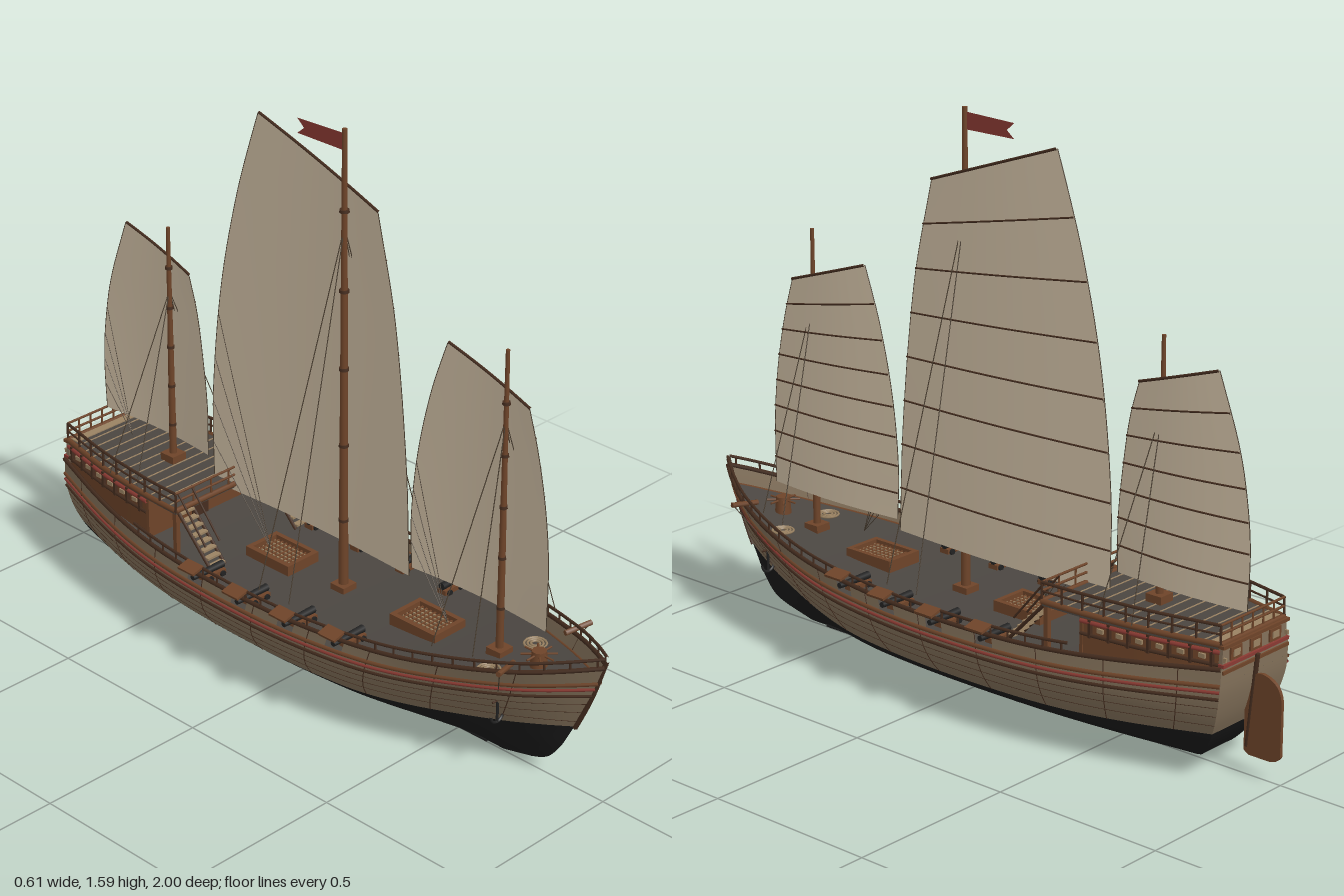
import * as THREE from 'three';

const M = {};
const mat = (name, color, double) => {
  M[name] = new THREE.MeshStandardMaterial({ color });
  M[name].name = name;
  if (double) M[name].side = THREE.DoubleSide;
};
const V = (x, y, z) => new THREE.Vector3(x, y, z);
const lerp = THREE.MathUtils.lerp;

// smooth interpolation through [x, value] pairs with rising x
function interp(p, x) {
  const n = p.length - 1;
  let i = 0;
  while (i < n - 1 && x > p[i + 1][0]) i++;
  const slope = k => {
    const a = p[Math.max(k - 1, 0)], b = p[Math.min(k + 1, n)];
    return (b[1] - a[1]) / (b[0] - a[0]);
  };
  const h = p[i + 1][0] - p[i][0], t = THREE.MathUtils.clamp((x - p[i][0]) / h, 0, 1);
  const t2 = t * t, t3 = t2 * t;
  return (2 * t3 - 3 * t2 + 1) * p[i][1] + (t3 - 2 * t2 + t) * h * slope(i)
    + (3 * t2 - 2 * t3) * p[i + 1][1] + (t3 - t2) * h * slope(i + 1);
}

// surface from f(a, b); it faces along da x db
function grid(na, nb, f) {
  const pos = [], idx = [];
  for (let i = 0; i <= na; i++) for (let j = 0; j <= nb; j++) {
    pos.push(...f(i / na, j / nb).toArray());
    if (i < na && j < nb) {
      const k = i * (nb + 1) + j, m = k + nb + 1;
      idx.push(k, m, m + 1, k, m + 1, k + 1);
    }
  }
  const g = new THREE.BufferGeometry();
  g.setAttribute('position', new THREE.Float32BufferAttribute(pos, 3));
  g.setIndex(idx);
  g.computeVertexNormals();
  return g;
}

// hull lines; heights on the hull are fractions of the sheer
const BOW = 0.99, STERN = -0.91, DECK = .87;
const beam = z => interp([[-.91, .138], [-.7, .2], [-.5, .242], [-.3, .262], [0, .268], [.2, .26], [.4, .238], [.6, .196], [.8, .122], [.92, .054], [.99, .004]], z);
const sheer = z => interp([[-.91, .335], [-.4, .295], [0, .287], [.4, .303], [.6, .327], [.8, .358], [.99, .4]], z);
const waterline = z => interp([[-.91, .41], [-.5, .375], [0, .365], [.5, .385], [.99, .45]], z);
const section = v => interp([[0, 0], [.1, .36], [.3, .71], [.5, .9], [.73, 1], [1, 1]], v);
const stem = v => interp([[0, .66], [.08, .785], [.2, .84], [.4, .885], [.7, .945], [1, .99]], v);
const sternLine = v => interp([[0, -.66], [.08, -.77], [.2, -.82], [.45, -.875], [.75, -.905], [1, -.91]], v);
function hullPoint(z0, w, off = 0) {
  const v = Math.abs(w), u = (z0 - STERN) / (BOW - STERN);
  const k = THREE.MathUtils.smoothstep(z0, .3, BOW) * .75;
  const x = beam(z0) * lerp(section(v), Math.pow(v, .8), k) + off;
  return V(Math.sign(w) * x, .008 + v * (sheer(z0) - .008), lerp(sternLine(v), stem(v), u));
}
// f0 and f1 give the lower and upper edge at each station
const hullStrip = (f0, f1, z0, z1, nw, nz) => grid(nw, nz, (a, b) => {
  const z = lerp(z0, z1, b);
  return hullPoint(z, lerp(f0(z), f1(z), a));
});

export function createModel() {
  mat('hullWood', 0x83715a, true); mat('tarBlack', 0x1a1a1a, true); mat('deckGrey', 0x4b4641, true);
  mat('darkWood', 0x452d1f); mat('brownWood', 0x6e4429, true); mat('red', 0x8a3a32, true);
  mat('sailCloth', 0xd0bfa5, true); mat('iron', 0x222222); mat('rope', 0x4a3e30); mat('paleWood', 0x9a8262);
  const root = new THREE.Group();
  const add = (name, geo, m, x = 0, y = 0, z = 0) => {
    const o = new THREE.Mesh(geo, M[m]);
    o.name = name; o.position.set(x, y, z); root.add(o);
    return o;
  };
  const box = (name, m, w, h, d, x, y, z) => add(name, new THREE.BoxGeometry(w, h, d), m, x, y, z);
  const rod = (name, m, a, b, r, r2 = r, n = 6) => {
    const o = add(name, new THREE.CylinderGeometry(r2, r, a.distanceTo(b), n), m);
    o.position.copy(a).add(b).multiplyScalar(.5);
    o.quaternion.setFromUnitVectors(V(0, 1, 0), b.clone().sub(a).normalize());
  };
  const tube = (name, m, pts, r, seg = 48) =>
    add(name, new THREE.TubeGeometry(new THREE.CatmullRomCurve3(pts), seg, r, 5), m);
  const along = (n, f) => Array.from({ length: n + 1 }, (_, i) => f(i / n));

  // hull shell, deck and transom
  const ports = [.29, .12, -.055, -.23];
  add('hullBottom', hullStrip(z => -waterline(z), waterline, STERN, BOW, 32, 60), 'tarBlack');
  for (const s of [-1, 1]) {
    const strip = (name, f0, f1, z0, z1, nv, nz) => add(name, s > 0 ? hullStrip(f0, f1, z0, z1, nv, nz)
      : hullStrip(z => -f1(z), z => -f0(z), z0, z1, nv, nz), 'hullWood');
    strip('topside', waterline, () => DECK, STERN, BOW, 10, 60);
    const cuts = [BOW, ...ports.flatMap(p => [p + .028, p - .028]), STERN];
    for (let i = 0; i < cuts.length; i += 2) strip('bulwark', () => DECK, () => 1, cuts[i + 1], cuts[i], 2, 16);
  }
  add('deck', grid(60, 2, (a, b) => {
    const p = hullPoint(lerp(STERN, BOW, a), DECK);
    p.x *= (b * 2 - 1) * .99; return p;
  }), 'deckGrey');
  const WS = waterline(STERN);
  for (const [name, m, v0, v1] of [['transom', 'hullWood', WS, 1], ['transomBottom', 'tarBlack', .0001, WS]])
    add(name, grid(8, 2, (a, b) => {
      const p = hullPoint(STERN, lerp(v0, v1, a));
      p.x *= b * 2 - 1; return p;
    }), m);

  // wales, plank seams, frames and open rail on both sides
  for (const s of [-1, 1]) {
    const run = (name, m, v, r, off = 0, n = 40) =>
      tube(name, m, along(n, t => hullPoint(lerp(STERN, BOW, t), s * v, off)), r, 80);
    run('capRail', 'darkWood', 1, .0065);
    run('upperWale', 'brownWood', .86, .006);
    run('redStripe', 'red', .81, .0045, .001);
    run('lowerWale', 'darkWood', .75, .005);
    for (const v of [.5, .59, .67]) run('plankSeam', 'darkWood', v, .0009);
    for (let i = 0; i < 9; i++) {
      const z = -.8 + i * .2;
      tube('hullFrame', 'darkWood', along(6, t => hullPoint(z, s * lerp(waterline(z), 1, t), .0003)), .0014, 10);
    }
    const railAt = z => hullPoint(z, s).add(V(0, .026, 0));
    tube('rail', 'darkWood', along(40, t => railAt(lerp(-.5, BOW, t))), .0045, 80);
    for (let i = 0; i <= 26; i++) {
      const z = lerp(-.48, .975, i / 26);
      rod('railPost', 'darkWood', hullPoint(z, s), railAt(z), .003);
    }
  }
  tube('stemPost', 'darkWood', along(10, t => V(0, lerp(.18, .42, t), stem(lerp(.45, 1, t)) + .002)), .007, 20);
  rod('keel', 'tarBlack', V(0, .008, -.6), V(0, .008, .6), .005);

  // cannons with lifted port lids
  for (const s of [-1, 1]) for (const z of ports) {
    const x = s * beam(z), y = sheer(z) - .012;
    const lid = box('portLid', 'brownWood', .042, .007, .06, x + s * .018, y + .035, z);
    lid.rotation.z = s * -.25;
    rod('cannonBarrel', 'iron', V(x - s * .1, y, z), V(x + s * .012, y, z), .011, .008, 10);
    box('gunCarriage', 'brownWood', .075, .014, .03, x - s * .062, y - .017, z);
    for (const dx of [.04, .085]) for (const dz of [-.018, .018])
      rod('carriageWheel', 'iron', V(x - s * dx, y - .019, z + dz - .003), V(x - s * dx, y - .019, z + dz + .003), .009, .009, 8);
  }

  // aft cabin, with its deck, panels and railing
  const cabinX = z => interp([[-.9, .13], [-.7, .172], [-.5, .195], [-.38, .2]], z);
  for (const s of [-1, 1]) {
    const side = (z, y) => V(s * cabinX(z), y, z);
    add('cabinWall', grid(12, 1, (a, b) => side(lerp(-.9, -.5, a), lerp(.26, .385, b)).add(V(-s * .006, 0, 0))), 'brownWood');
    for (const [m, y, r] of [['darkWood', .342, .005], ['red', .376, .006]])
      tube('cabinTrim', m, along(8, t => side(lerp(-.9, -.5, t), y)), r, 16);
    for (let i = 0; i < 7; i++) {
      const z = -.53 - i * .058;
      box('cabinPost', 'darkWood', .01, .05, .008, s * cabinX(z), .36, z);
      box('cabinWindow', 'paleWood', .006, .012, .02, s * (cabinX(z - .029) - .003), .358, z - .029);
    }
    for (const [m, y, r] of [['brownWood', .397, .008], ['darkWood', .425, .003], ['darkWood', .449, .0045]])
      tube('poopRail', m, along(10, t => side(lerp(-.9, -.375, t), y)), r, 24);
    for (let i = 0; i <= 8; i++) rod('poopPost', 'darkWood', side(-.9 + i * .0656, .39), side(-.9 + i * .0656, .45), .0035);
    box('poopSupport', 'brownWood', .014, .14, .014, s * .19, .32, -.385);
    // stairs up to the poop
    for (let i = 0; i < 8; i++) box('stairTread', 'paleWood', .048, .006, .018, s * .163, .265 + i * .017, -.255 - i * .017);
    for (const dx of [-.026, .026]) {
      rod('stairString', 'darkWood', V(s * .163 + dx, .255, -.25), V(s * .163 + dx, .39, -.38), .005);
      rod('stairHandrail', 'darkWood', V(s * .163 + dx, .32, -.27), V(s * .163 + dx, .45, -.38), .003);
    }
  }
  const poop = new THREE.Shape([...along(8, t => lerp(-.9, -.375, t)).map(z => new THREE.Vector2(cabinX(z), -z)),
    ...along(8, t => lerp(-.375, -.9, t)).map(z => new THREE.Vector2(-cabinX(z), -z))]);
  add('poopDeck', new THREE.ExtrudeGeometry(poop, { depth: .014, bevelEnabled: false }).rotateX(-Math.PI / 2), 'deckGrey', 0, .384, 0);
  for (let i = 0; i < 12; i++) {
    const z = -.41 - i * .04;
    box('poopSeam', 'paleWood', cabinX(z) * 1.9, .003, .004, 0, .398, z);
  }
  box('poopSternPlank', 'paleWood', .25, .004, .025, 0, .399, -.88);
  box('cabinFront', 'brownWood', .384, .13, .01, 0, .32, -.5);
  box('cabinDoor', 'darkWood', .06, .11, .006, 0, .31, -.494);
  box('cabinBack', 'hullWood', .262, .07, .012, 0, .352, -.902);
  for (const [m, y] of [['brownWood', .325], ['red', .342], ['brownWood', .392]]) box('sternBeam', m, .27, .009, .018, 0, y, -.906);
  for (const x of [-.08, 0, .08]) {
    box('sternWindowFrame', 'brownWood', .046, .034, .006, x, .367, -.91);
    box('sternWindow', 'paleWood', .026, .018, .006, x, .367, -.912);
  }
  for (const [z, w] of [[-.9, .13], [-.375, .2]]) {
    for (const y of [.425, .449]) rod('poopCrossRail', 'brownWood', V(-w, y, z), V(w, y, z), .0035);
    rod('poopEdge', 'brownWood', V(-w, .396, z), V(w, .396, z), .008);
    for (let i = 0; i <= 6; i++) rod('poopCrossPost', 'brownWood', V(lerp(-w, w, i / 6), .39, z), V(lerp(-w, w, i / 6), .45, z), .003);
  }

  // rudder
  const rs = new THREE.Shape();
  rs.moveTo(.885, .07); rs.lineTo(.885, .24); rs.quadraticCurveTo(.9, .29, .94, .29);
  rs.quadraticCurveTo(1, .28, 1, .22); rs.lineTo(1, .08); rs.quadraticCurveTo(.99, .06, .96, .06); rs.lineTo(.9, .06);
  add('rudder', new THREE.ExtrudeGeometry(rs, { depth: .01, bevelEnabled: false }).rotateY(Math.PI / 2), 'brownWood', -.005);
  rod('rudderStock', 'darkWood', V(0, .08, -.892), V(0, .34, -.918), .007);

  // hatches with gratings
  for (const [z, d] of [[-.165, .15], [.38, .15]]) {
    const y = DECK * sheer(z);
    box('hatchBase', 'darkWood', .09, .02, d - .02, 0, y + .008, z);
    for (const s of [-1, 1]) {
      box('hatchCoaming', 'brownWood', .014, .034, d, s * .052, y + .014, z);
      box('hatchCoaming', 'brownWood', .118, .034, .014, 0, y + .014, z + s * d / 2);
    }
    for (let i = 0; i < 5; i++) box('gratingBar', 'paleWood', .004, .006, d - .03, -.03 + i * .015, y + .021, z);
    for (let i = 0; i < 8; i++) box('gratingBar', 'brownWood', .08, .006, .005, 0, y + .022, z - d * .35 + i * d * .1);
  }

  // capstan, rope coils, catheads and anchors
  const cy = DECK * sheer(.77);
  rod('capstan', 'brownWood', V(0, cy, .77), V(0, cy + .05, .77), .024, .02, 10);
  for (let i = 0; i < 4; i++) {
    const a = i * Math.PI / 4, d = V(Math.cos(a) * .048, 0, Math.sin(a) * .048);
    rod('capstanBar', 'brownWood', V(0, cy + .04, .77).sub(d), V(0, cy + .04, .77).add(d), .003);
  }
  for (const s of [-1, 1]) {
    for (const r of [.012, .021, .03])
      add('ropeCoil', new THREE.TorusGeometry(r, .0035, 5, 16).rotateX(Math.PI / 2), 'paleWood', s * .09, DECK * sheer(.68) + .006, .68);
    rod('cathead', 'brownWood', V(s * .1, .365, .77), V(s * .18, .372, .79), .008);
    const p = hullPoint(.79, s * .55, .012), top = V(s * .175, .37, .79);
    rod('anchorCable', 'rope', top, p.clone().setY(.25), .0015);
    rod('anchorShank', 'iron', p.clone().setY(.17), p.clone().setY(.24), .004);
    const arms = add('anchorArms', new THREE.TorusGeometry(.024, .004, 5, 12, Math.PI), 'iron', p.x, .194, p.z);
    arms.rotation.z = Math.PI;
    rod('anchorStock', 'darkWood', p.clone().setY(.235).add(V(-.02, 0, 0)), p.clone().setY(.235).add(V(.02, 0, 0)), .003);
  }

  // masts, battened sails and rigging; luff and leech are [y, z] curves
  const rigs = [
    { z: .07, base: .24, top: 1.59, r: .014, y0: .375, yl: 1.385, yt: 1.535, n: 8, hang: 1.32, foot: .33,
      luff: [[.375, .295], [.7, .28], [1.1, .235], [1.39, .17]], leech: [[.375, -.45], [.65, -.45], [1, -.41], [1.3, -.34], [1.54, -.26]] },
    { z: .635, base: .28, top: 1.165, r: .011, y0: .405, yl: 1.015, yt: 1.105, n: 8, hang: .97, foot: .37,
      luff: [[.405, .775], [.6, .775], [.75, .76], [.9, .73], [1.02, .695]], leech: [[.405, .305], [.55, .3], [.75, .32], [.95, .365], [1.11, .42]] },
    { z: -.6, base: .39, top: 1.11, r: .011, y0: .45, yl: .98, yt: 1.06, n: 7, hang: .92, foot: .4,
      luff: [[.45, -.475], [.6, -.475], [.75, -.49], [.88, -.51], [.985, -.54]], leech: [[.45, -.895], [.6, -.9], [.72, -.89], [.87, -.86], [1.065, -.79]] }];
  for (const k of rigs) {
    rod('mast', 'brownWood', V(0, k.base, k.z), V(0, k.top, k.z), k.r, k.r * .5, 12);
    box('mastCollar', 'brownWood', .05, .03, .05, 0, k.base + .015, k.z);
    for (let i = 1; i < 6; i++) {
      const y = lerp(k.base, k.top, i / 6);
      rod('mastBand', 'darkWood', V(0, y - .004, k.z), V(0, y + .004, k.z), k.r, k.r * .95, 12);
    }
    const at = (a, b, dx = 0) => {
      const yl = lerp(k.y0, k.yl, b), ye = yl + (k.yt - k.yl) * Math.pow(b, 2.5);
      return V(.018 + .014 * Math.sin(Math.PI * a) * (1 - .6 * b) + dx, lerp(yl, ye, a), lerp(interp(k.luff, yl), interp(k.leech, ye), a));
    };
    add('sail', grid(16, 32, (a, b) => at(a, b)), 'sailCloth');
    // battens lie on the outer face of the cloth
    for (let i = 1; i <= k.n; i++)
      tube(i < k.n ? 'batten' : 'yard', 'darkWood', along(8, t => at(t, i / k.n, .0028)), i < k.n ? .0026 : .004, 16);
    for (const a of [0, 1]) tube('boltRope', 'rope', along(12, t => at(a, t)), .0012, 24);
    // sheets gather behind the mast, shrouds spread to the sides
    for (let i = 1; i < 5; i++) rod('sheet', 'rope', at(1, i / k.n), V(-.02, k.base + .04, lerp(k.z, at(1, 0).z, .5)), .001);
    for (const s of [-1, 1]) for (const dz of [-.06, .05]) {
      const w = k.z < -.4 ? cabinX(k.z) : beam(k.z + dz) - .008;
      rod('shroud', 'rope', V(0, k.hang, k.z), V(s * w, k.foot, k.z + dz), .0014);
    }
  }

  // swallowtail flag
  const flag = new THREE.Shape([[-.07, 1.53], [.1, 1.53], [.075, 1.55], [.1, 1.572], [-.07, 1.577]].map(p => new THREE.Vector2(...p)));
  add('flag', new THREE.ShapeGeometry(flag).rotateY(Math.PI / 2), 'red');
  return root;
}
